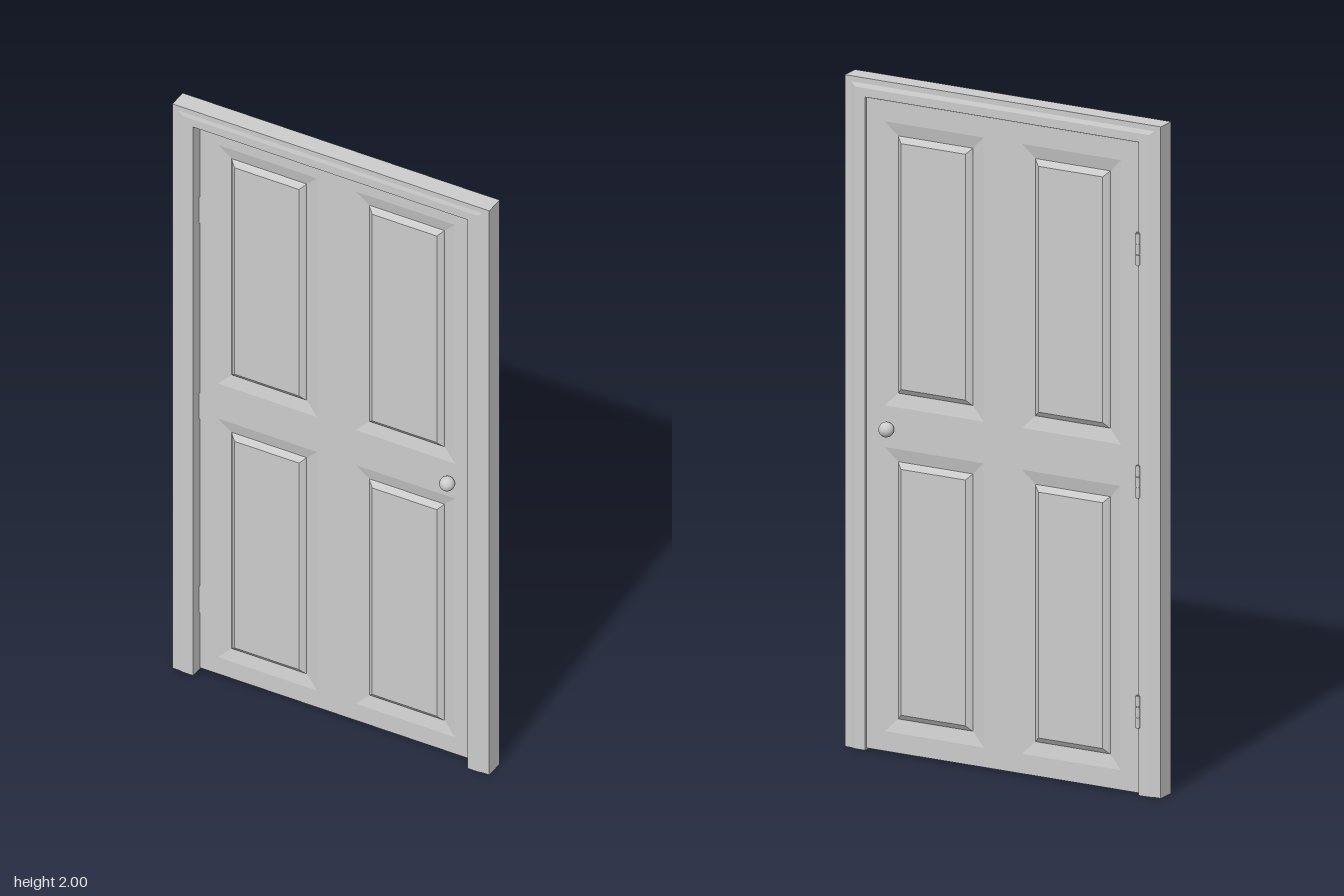
import * as THREE from 'three';

const material = new THREE.MeshStandardMaterial({ color: 0xcccccc, flatShading: true });
const smooth = new THREE.MeshStandardMaterial({ color: 0xcccccc });

const BACK = -0.015, FRAME_FRONT = 0.045, DOOR_FRONT = 0.012;
const DOOR_MID = (BACK + DOOR_FRONT) / 2, DOOR_HALF = (DOOR_FRONT - BACK) / 2;

function addMesh(parent, name, geometry, mat = material) {
  const mesh = new THREE.Mesh(geometry, mat);
  mesh.name = name;
  parent.add(mesh);
  return mesh;
}

// Joins closed loops of points into a faceted skin, with optional end caps
function loft(loops, capStart, capEnd) {
  const pos = [];
  const tri = (...pts) => pts.forEach((p) => pos.push(p[0], p[1], p[2]));
  const n = loops[0].length;
  for (let k = 0; k + 1 < loops.length; k++) {
    const a = loops[k], b = loops[k + 1];
    for (let i = 0; i < n; i++) {
      const j = (i + 1) % n;
      tri(a[i], a[j], b[j]);
      tri(a[i], b[j], b[i]);
    }
  }
  const cap = (loop, flip) => {
    const c = [0, 1, 2].map((d) => loop.reduce((s, p) => s + p[d], 0) / n);
    loop.forEach((p, i) => {
      const q = loop[(i + 1) % n];
      flip ? tri(c, q, p) : tri(c, p, q);
    });
  };
  if (capStart) cap(loops[0], true);
  if (capEnd) cap(loops[loops.length - 1], false);
  const geometry = new THREE.BufferGeometry();
  geometry.setAttribute('position', new THREE.Float32BufferAttribute(pos, 3));
  geometry.computeVertexNormals();
  return geometry;
}

// Mitred frame: one profile carried up a jamb, across the head and down again
function frameGeometry() {
  // t runs from the opening (0) to the outside edge (1)
  const profile = [
    [0, FRAME_FRONT + 0.003], [0.48, FRAME_FRONT + 0.003], [0.7, FRAME_FRONT], [1, FRAME_FRONT],
    [1, BACK], [0.7, BACK], [0.48, BACK - 0.005], [0, BACK - 0.005],
  ];
  const station = (side, top) =>
    profile.map(([t, z]) => [side * (0.45 + 0.07 * t), top ? 1.945 + 0.055 * t : 0, z]);
  return loft([station(1, false), station(1, true), station(-1, true), station(-1, false)], true, true);
}

// Rectangle loop, anticlockwise from the front
const rect = (w, h, z) => [[-w, -h, z], [w, -h, z], [w, h, z], [-w, h, z]];

// Sunken bevel around a raised field, around the panel centre
function panelGeometry(w, h) {
  const top = DOOR_HALF, base = top - 0.009, field = top + 0.005;
  return loft([
    rect(w, h, top),
    rect(w - 0.04, h - 0.04, base),
    rect(w - 0.043, h - 0.043, base + 0.004),
    rect(w - 0.057, h - 0.057, field),
  ], false, true);
}

export function createModel() {
  const model = new THREE.Group();
  model.name = 'panelDoor';
  addMesh(model, 'frame', frameGeometry());

  const door = new THREE.Group();
  door.name = 'door';
  door.position.z = DOOR_MID;
  model.add(door);

  // Panel openings: centre height and half height, mirrored left and right
  const panelW = 0.163, panelX = 0.226;
  const rows = [{ name: 'upper', y: 1.458, h: 0.423 }, { name: 'lower', y: 0.488, h: 0.423 }];

  // Slab with four openings
  const slab = new THREE.Shape();
  slab.moveTo(-0.448, 0.006).lineTo(0.448, 0.006).lineTo(0.448, 1.943).lineTo(-0.448, 1.943).closePath();
  for (const { y, h } of rows) {
    for (const side of [-1, 1]) {
      const hole = new THREE.Path();
      rect(panelW, h, 0).reverse().forEach(([px, py], i) =>
        i ? hole.lineTo(px + side * panelX, py + y) : hole.moveTo(px + side * panelX, py + y));
      hole.closePath();
      slab.holes.push(hole);
    }
  }
  const slabGeometry = new THREE.ExtrudeGeometry(slab, { depth: DOOR_HALF * 2, bevelEnabled: false });
  addMesh(door, 'slab', slabGeometry.translate(0, 0, -DOOR_HALF));

  // Panels and knobs on both faces
  const knobProfile = [[0.012, 0], [0.012, 0.004], [0.009, 0.006]];
  for (let i = 0; i <= 14; i++) {
    const a = -1.15 + (i / 14) * (Math.PI / 2 + 1.15);
    knobProfile.push([Math.max(0, 0.0225 * Math.cos(a)), 0.018 + 0.0225 * Math.sin(a)]);
  }
  const knobGeometry = new THREE.LatheGeometry(knobProfile.map(([r, y]) => new THREE.Vector2(r, y)), 28);
  knobGeometry.rotateX(Math.PI / 2);
  for (const face of ['front', 'back']) {
    const turn = face === 'front' ? 0 : Math.PI;
    for (const { name, y, h } of rows) {
      for (const side of [-1, 1]) {
        const panel = addMesh(door, `${face}${name}Panel`, panelGeometry(panelW, h));
        panel.position.set(side * panelX, y, 0);
        panel.rotation.y = turn;
      }
    }
    const knob = addMesh(door, `${face}Knob`, knobGeometry, smooth);
    knob.position.set(0.373, 0.97, face === 'front' ? DOOR_HALF : -DOOR_HALF);
    knob.rotation.y = turn;
  }

  // Hinges on the back: three knuckles, a pin and a leaf in the gap
  for (const y of [1.628, 0.935, 0.25]) {
    const hinge = new THREE.Group();
    hinge.name = 'hinge';
    hinge.position.set(-0.45, y, -0.025);
    for (const k of [-1, 0, 1]) {
      addMesh(hinge, 'knuckle', new THREE.CylinderGeometry(0.006, 0.006, 0.03, 12), smooth).position.y = k * 0.032;
    }
    addMesh(hinge, 'pin', new THREE.CylinderGeometry(0.0035, 0.0035, 0.1, 10), smooth);
    addMesh(hinge, 'leaf', new THREE.BoxGeometry(0.004, 0.094, 0.036)).position.z = 0.02;
    model.add(hinge);
  }
  return model;
}
